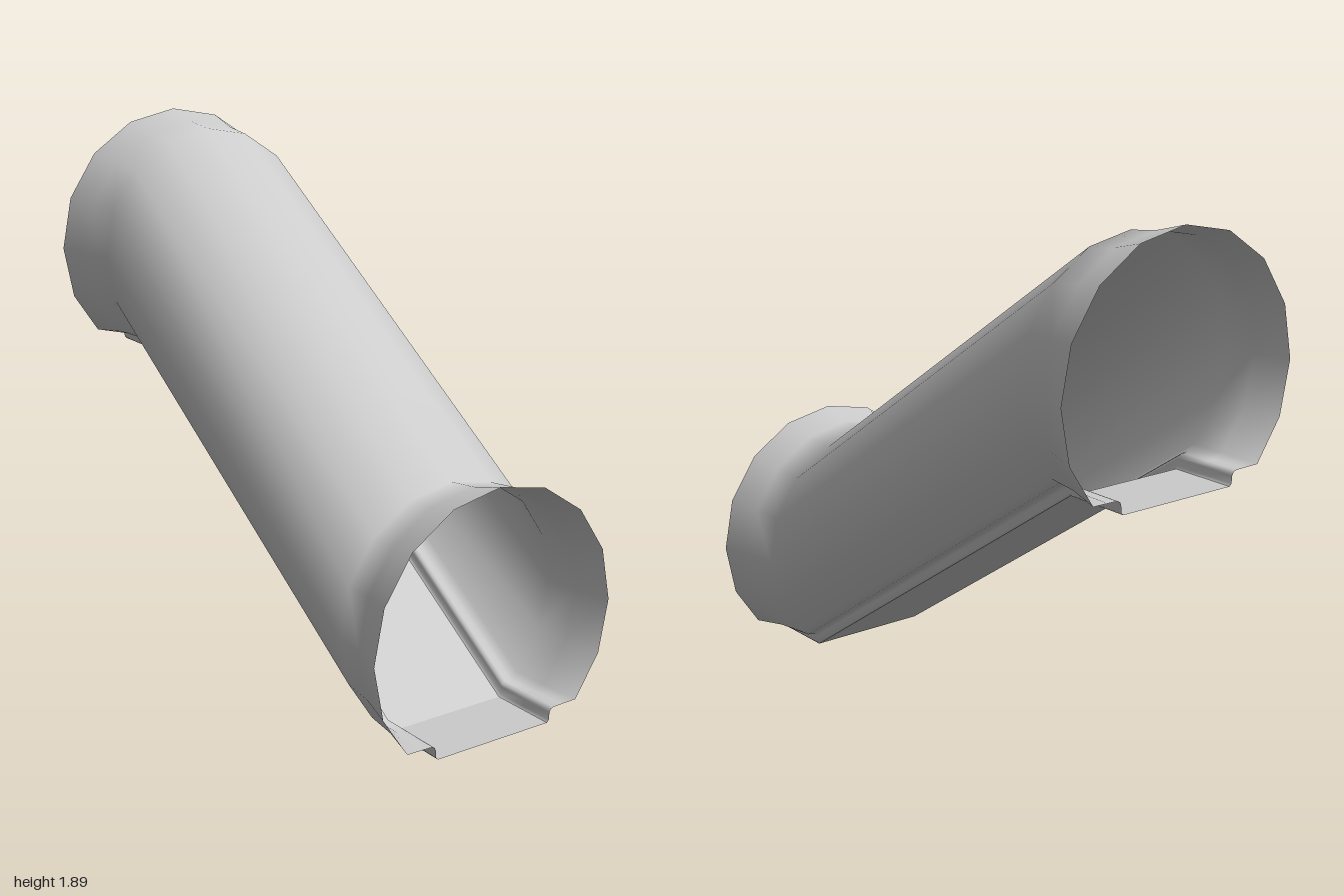
import * as THREE from 'three';

const RADIUS = 0.497, CENTRE = 0.389;

// Slide path: z, height of the underside, and flare of the round wall
const stations = [
  { z: 1, y: 0, flare: 1 },
  { z: 0.87, y: 0, flare: 0.93 },
  { z: 0.75, y: 0, flare: 0.9 },
  { z: -0.75, y: 1, flare: 0.9 },
  { z: -0.87, y: 1, flare: 0.93 },
  { z: -1, y: 1, flare: 1 },
];

// Half cross-section on +x, from the floor edge up to the crown
function halfProfile(flare) {
  const t = (flare - 0.9) / 0.1;
  const points = [
    [0.235, 0], [0.243, 0.008], [0.245, 0.035], [0.25, 0.046], [0.262, 0.051],
    [THREE.MathUtils.lerp(0.285, 0.3, t), 0.052],
    [THREE.MathUtils.lerp(0.317, 0.361, t), THREE.MathUtils.lerp(0.073, 0.053, t)],
  ];
  for (let k = 5; k >= 0; k--) {
    const a = k * Math.PI / 8;
    points.push([RADIUS * flare * Math.sin(a), CENTRE + RADIUS * flare * Math.cos(a)]);
  }
  return points;
}

// Full wall section: +x half, then its mirror
function wallProfile(flare) {
  const half = halfProfile(flare);
  const mirrored = half.slice(0, -1).reverse().map(([x, y]) => [-x, y]);
  return [...half, ...mirrored];
}

// Skin the cross-sections along the path
function loft(profileAt) {
  const positions = [], indices = [];
  let n = 0;
  stations.forEach(({ z, y, flare }) => {
    const profile = profileAt(flare);
    n = profile.length;
    profile.forEach(([px, py]) => positions.push(px, y + py, z));
  });
  for (let i = 0; i < stations.length - 1; i++) {
    for (let j = 0; j < n - 1; j++) {
      const a = i * n + j, b = a + n;
      indices.push(a, b, a + 1, b, b + 1, a + 1);
    }
  }
  const geometry = new THREE.BufferGeometry();
  geometry.setAttribute('position', new THREE.Float32BufferAttribute(positions, 3));
  geometry.setIndex(indices);
  geometry.computeVertexNormals();
  return geometry;
}

export function createModel() {
  const group = new THREE.Group();
  group.name = 'tubeSlide';
  const add = (name, geometry, flatShading) => {
    const material = new THREE.MeshStandardMaterial({
      color: 0xcccccc, side: THREE.DoubleSide, flatShading,
    });
    const mesh = new THREE.Mesh(geometry, material);
    mesh.name = name;
    group.add(mesh);
  };

  // Smooth tube wall with flared mouths, ledges and channel sides
  add('tubeWall', loft(wallProfile), false);

  // Flat sliding floor, creased where the slope begins and ends
  add('slideFloor', loft(() => [[-0.235, 0], [0.235, 0]]), true);

  return group;
}
